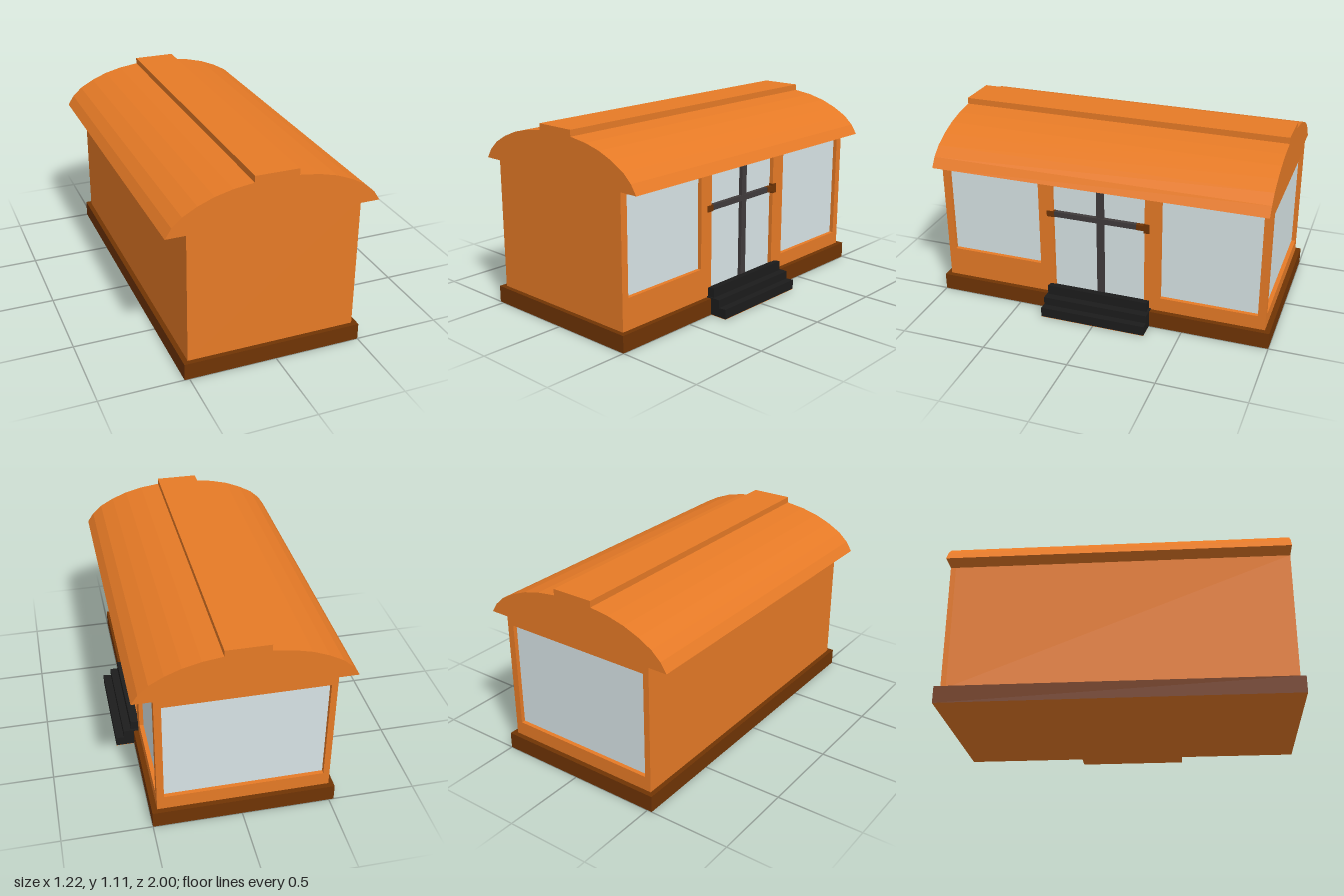
import * as THREE from 'three';

const mat = (name, color) => {
  const m = new THREE.MeshStandardMaterial({ color });
  m.name = name;
  return m;
};

export function createModel() {
  const model = new THREE.Group();
  const orange = mat('orange paint', 0xe67a26);
  const brown = mat('brown base', 0x703404);
  const glass = mat('pale glass', 0xd8e4e6);
  const black = mat('black step', 0x1c1c1c);
  const grey = mat('dark grey bar', 0x403b3c);

  const add = (name, geometry, material) => {
    const mesh = new THREE.Mesh(geometry, material);
    mesh.name = name;
    model.add(mesh);
    return mesh;
  };
  // Box given by its limits on each axis
  const box = (name, material, [x0, x1], [y0, y1], [z0, z1]) => {
    const g = new THREE.BoxGeometry(x1 - x0, y1 - y0, z1 - z0);
    g.translate((x0 + x1) / 2, (y0 + y1) / 2, (z0 + z1) / 2);
    return add(name, g, material);
  };
  const points = list => list.map(p => new THREE.Vector2(...p));
  const rect = (P, [u0, u1, v0, v1]) => new P(points([[u0, v0], [u1, v0], [u1, v1], [u0, v1]]));
  const extrude = (shape, depth) => new THREE.ExtrudeGeometry(shape, { depth, bevelEnabled: false });
  // Wall panel with window openings
  const panel = (outline, holes, depth) => {
    const s = rect(THREE.Shape, outline);
    s.holes = holes.map(h => rect(THREE.Path, h));
    return extrude(s, depth);
  };

  // Base with an orange underside, and solid inner body
  box('base', [brown, brown, brown, orange, brown, brown], [-0.528, 0.5], [0, 0.097], [-1, 1]);
  box('body', orange, [-0.5, 0.44], [0.097, 0.846], [-0.94, 0.972]);

  // Right wall: two windows and a double door
  const sideOpenings = [
    [-0.93, -0.37, 0.275, 0.825],
    [-0.285, 0.265, 0.11, 0.825],
    [0.36, 0.925, 0.18, 0.825],
  ];
  add('rightWall', panel([-0.972, 0.97, 0.097, 0.846], sideOpenings, 0.03)
    .rotateY(Math.PI / 2).translate(0.44, 0, 0), orange);
  sideOpenings.forEach(([u0, u1, v0, v1], i) =>
    box(i === 1 ? 'doorGlass' : 'sideWindow', glass, [0.439, 0.446], [v0, v1], [-u1, -u0]));

  // Back wall: one wide window
  add('backWall', panel([-0.44, 0.5, 0.097, 0.846], [[-0.43, 0.465, 0.18, 0.8]], 0.03)
    .rotateY(Math.PI).translate(0, 0, -0.94), orange);
  box('backWindow', glass, [-0.465, 0.43], [0.18, 0.8], [-0.946, -0.939]);

  // Door bars, handles and top bracket
  box('doorPost', grey, [0.44, 0.468], [0.11, 0.84], [-0.02, 0.02]);
  box('doorRail', grey, [0.445, 0.47], [0.596, 0.628], [-0.215, 0.275]);
  box('leftHandle', brown, [0.445, 0.473], [0.594, 0.63], [0.275, 0.32]);
  box('railEnd', brown, [0.445, 0.472], [0.596, 0.628], [-0.26, -0.215]);
  box('rightHandle', brown, [0.445, 0.473], [0.583, 0.64], [-0.293, -0.26]);
  box('topBracket', brown, [0.445, 0.473], [0.832, 0.845], [-0.03, 0.06]);

  // Arched roof with a raised ridge
  const cx = -0.015;
  const half = [[0.596, 0.845], [0.56, 0.9], [0.505, 0.95], [0.425, 0.994], [0.335, 1.03],
    [0.235, 1.055], [0.123, 1.07], [0.123, 1.106]];
  const outline = [...half, ...half.map(([x, y]) => [-x, y]).reverse()];
  const roof = new THREE.Shape(points(outline.map(([x, y]) => [x + cx, y])));
  add('roof', extrude(roof, 1.942).translate(0, 0, -0.97), orange);

  // Entrance steps with slightly tilted treads
  const lower = new THREE.Shape(points([[0.465, 0.003], [0.608, 0.003], [0.608, 0.06],
    [0.56, 0.056], [0.56, 0.103], [0.465, 0.103]]));
  add('lowerSteps', extrude(lower, 0.627).translate(0, 0, -0.307), black);
  const top = new THREE.Shape(points([[0.465, 0.103], [0.515, 0.103], [0.515, 0.16], [0.465, 0.151]]));
  add('topStep', extrude(top, 0.607).translate(0, 0, -0.295), black);
  box('stepUnderside', orange, [0.5, 0.607], [0, 0.003], [-0.306, 0.319]);

  return model;
}
